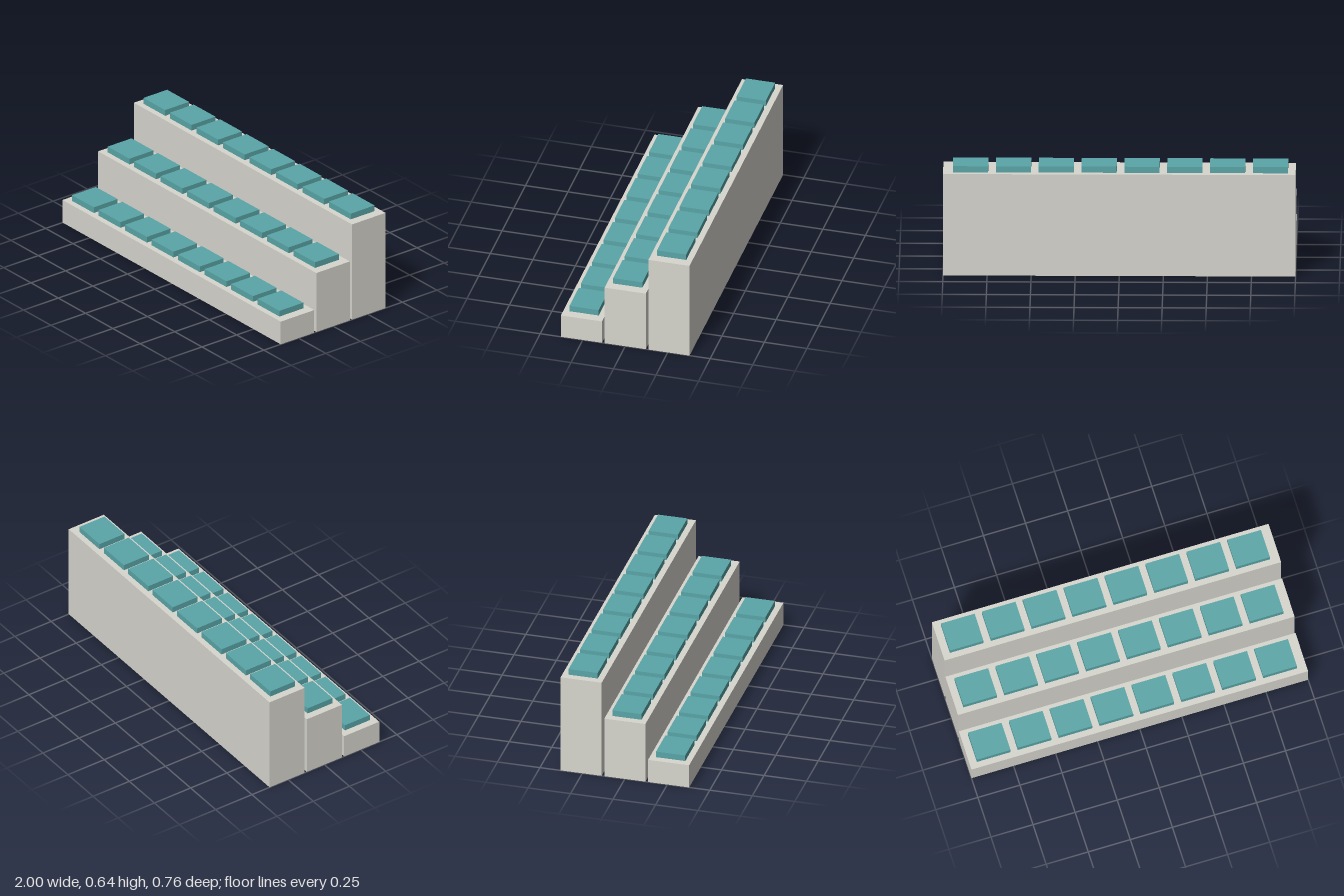
import * as THREE from 'three';

const SEATS = 8, PITCH = 0.243, FIRST_X = -0.857;
const TIER_DEPTH = 0.242, TIER_SPACING = 0.2575;

export function createModel() {
  const model = new THREE.Group();
  model.name = 'tieredSeating';
  const concrete = new THREE.MeshStandardMaterial({ color: 0xd7d6ce });
  const teal = new THREE.MeshStandardMaterial({ color: 0x5aa6a8 });
  const seatGeometry = new THREE.BoxGeometry(0.2, 0.036, 0.172);

  // Three separate steps, rising from the front to the back
  [0.143, 0.372, 0.601].forEach((height, row) => {
    const tier = new THREE.Group();
    tier.name = `tier${row + 1}`;
    tier.position.z = TIER_SPACING * (1 - row);

    const step = new THREE.Mesh(new THREE.BoxGeometry(2, height, TIER_DEPTH), concrete);
    step.name = 'step';
    step.position.y = height / 2;
    tier.add(step);

    // Row of seat pads resting on the step
    for (let i = 0; i < SEATS; i++) {
      const seat = new THREE.Mesh(seatGeometry, teal);
      seat.name = `seat${i + 1}`;
      seat.position.set(FIRST_X + i * PITCH, height + 0.018, 0);
      tier.add(seat);
    }
    model.add(tier);
  });
  return model;
}
